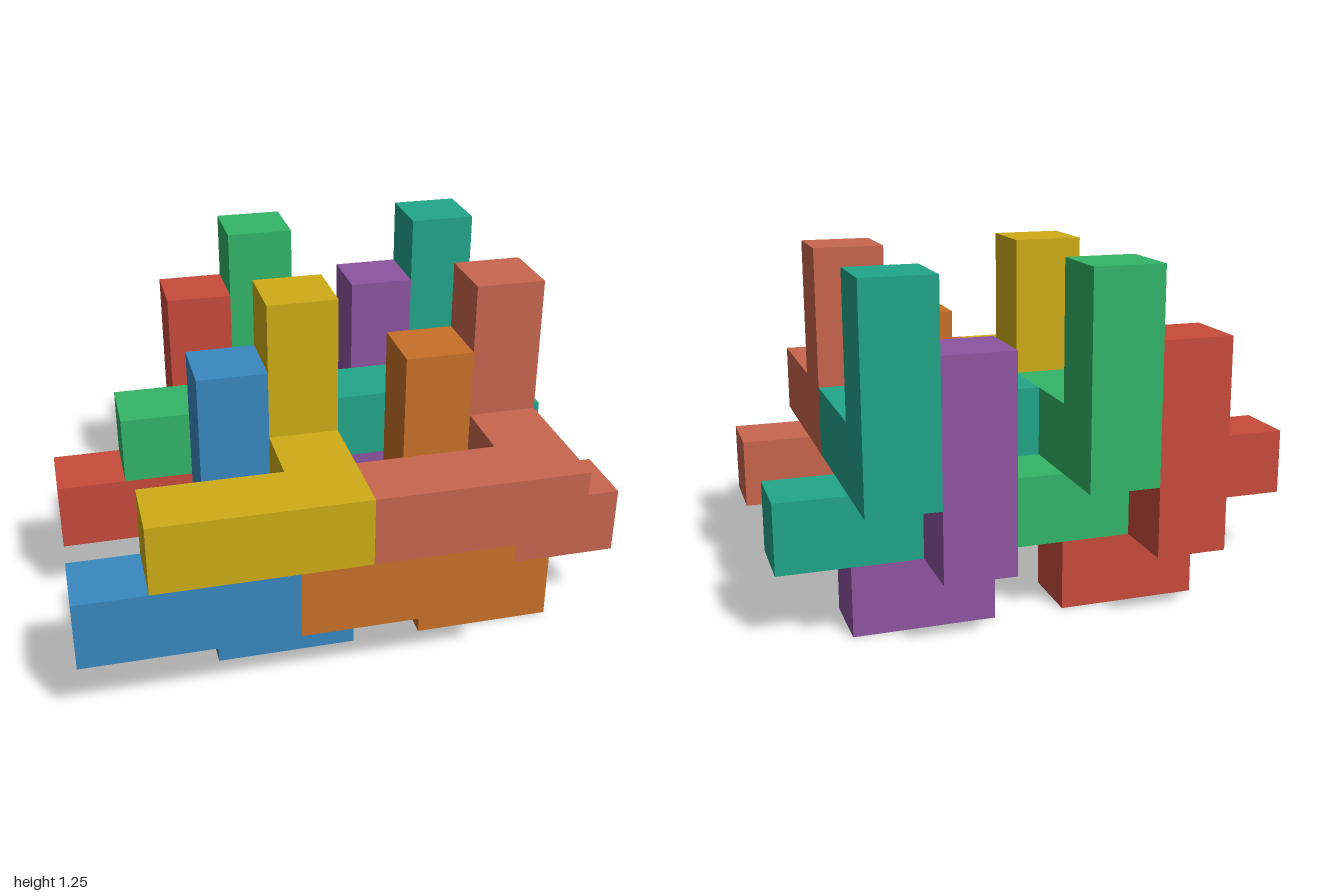
import * as THREE from 'three';
import { mergeGeometries } from 'three/addons/utils/BufferGeometryUtils.js';

const U = 0.25; // edge of one cube cell

// Cells of the interlocking piece: arm, spine, tower and foot
const CELLS = [
  [0, 1, 2], [1, 1, 2], [2, 1, 2], // arm along x
  [2, 1, 1], [2, 1, 0],            // spine running back
  [2, 2, 0], [2, 3, 0],            // tower
  [2, 0, 1], [3, 0, 1],            // foot under the spine
];

// One closed surface: a square for every cell side with no neighbour
function pieceGeometry() {
  const filled = new Set(CELLS.map(String));
  const forward = new THREE.Vector3(0, 0, 1);
  const sides = [[1, 0, 0], [-1, 0, 0], [0, 1, 0], [0, -1, 0], [0, 0, 1], [0, 0, -1]];
  const faces = [];
  for (const cell of CELLS) {
    for (const side of sides) {
      if (filled.has(String(cell.map((c, i) => c + side[i])))) continue;
      const normal = new THREE.Vector3(...side);
      const face = new THREE.PlaneGeometry(U, U);
      face.applyQuaternion(new THREE.Quaternion().setFromUnitVectors(forward, normal));
      const centre = cell.map((c, i) => (c + 0.5 + side[i] / 2) * U);
      faces.push(face.translate(...centre));
    }
  }
  return mergeGeometries(faces);
}

export function createModel() {
  const model = new THREE.Group();
  model.name = 'interlockingBlocks';
  const geometry = pieceGeometry();

  // The same piece eight times: [name, colour, x, y, z offset in cells]
  const pieces = [
    ['bluePiece', 0x3888c0, -4, 0, 0],
    ['orangePiece', 0xc87028, -1, 0, 0],
    ['yellowPiece', 0xceac18, -3, 1, 0],
    ['salmonPiece', 0xc8664e, 0, 1, 0],
    ['redPiece', 0xc84b3c, -4, 0, -3],
    ['purplePiece', 0x8e55a0, -1, 0, -3],
    ['greenPiece', 0x33b569, -3, 1, -3],
    ['tealPiece', 0x22a68a, 0, 1, -3],
  ];
  for (const [name, color, x, y, z] of pieces) {
    const mesh = new THREE.Mesh(geometry, new THREE.MeshStandardMaterial({ color }));
    mesh.name = name;
    mesh.position.set(x * U, y * U, z * U);
    model.add(mesh);
  }
  return model;
}
